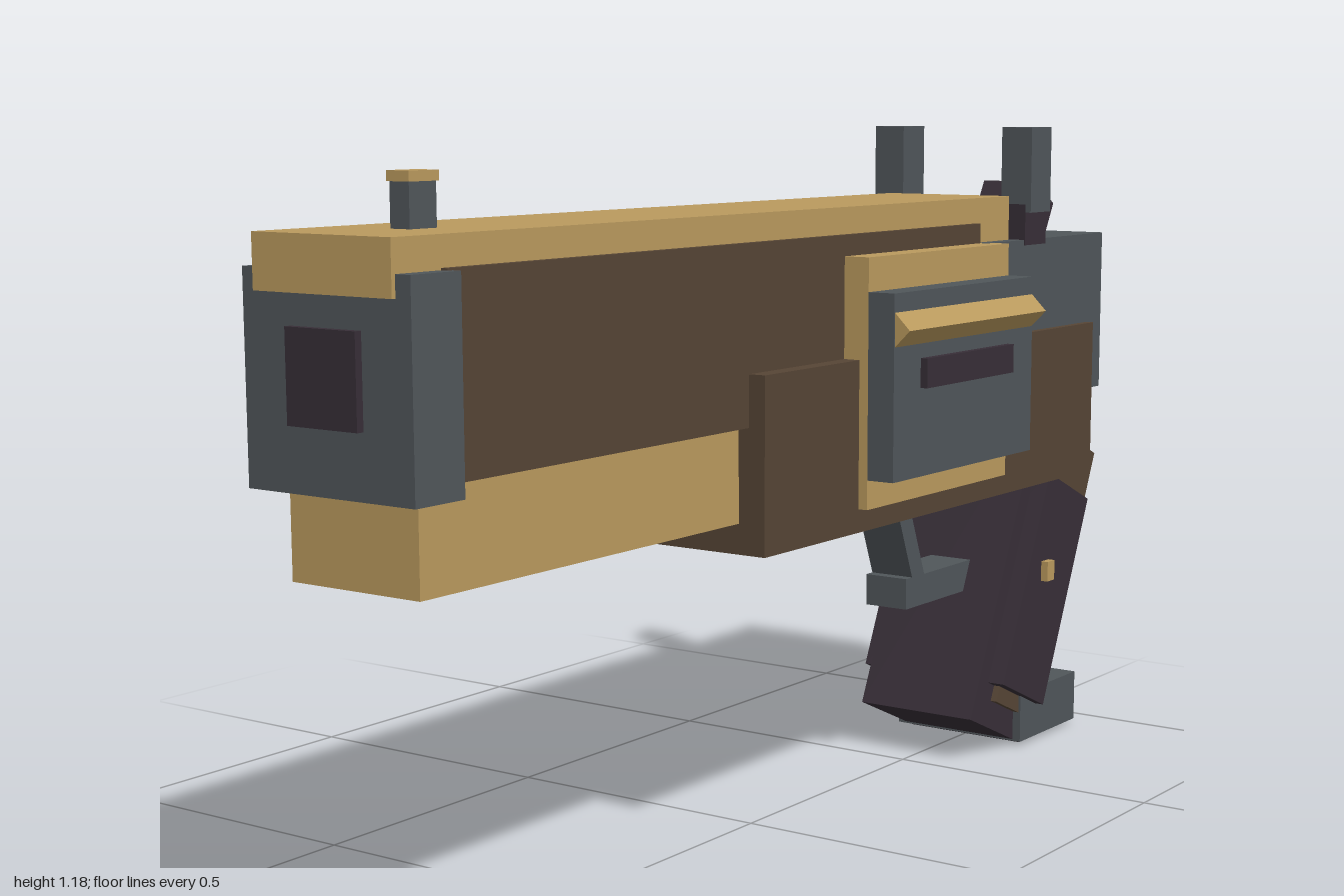
import * as THREE from 'three';

const mat = (name, color) => {
  const m = new THREE.MeshStandardMaterial({ color });
  m.name = name;
  return m;
};

export function createModel() {
  const model = new THREE.Group();
  model.name = 'pistol';
  const steel = mat('steel', 0x50565a);
  const gold = mat('gold', 0xba9a5e);
  const brown = mat('brown', 0x564535);
  const dark = mat('darkPlum', 0x372e37);

  // Box given by its extents along x, y and z
  const box = (name, material, x, y, z, parent = model) => {
    const mesh = new THREE.Mesh(
      new THREE.BoxGeometry(x[1] - x[0], y[1] - y[0], z[1] - z[0]), material);
    mesh.position.set((x[0] + x[1]) / 2, (y[0] + y[1]) / 2, (z[0] + z[1]) / 2);
    mesh.name = name;
    parent.add(mesh);
    return mesh;
  };
  const wide = (h) => [-h, h];

  // Barrel and frame
  box('topRail', gold, wide(0.128), [0.98, 1.06], [-0.645, 0.995]);
  box('slide', brown, wide(0.14), [0.725, 1.015], [-0.52, 0.9]);
  box('muzzle', steel, wide(0.155), [0.705, 1.012], [0.89, 0.988]);
  box('bore', dark, wide(0.065), [0.8, 0.935], [0.95, 1.0]);
  box('underBarrel', gold, wide(0.12), [0.57, 0.73], [0.1, 0.945]);
  box('frame', brown, wide(0.17), [0.52, 0.81], [-0.91, 0.205]);
  box('rearBlock', steel, wide(0.155), [0.68, 0.98], [-0.97, -0.52]);

  // Side housings
  box('housingCore', gold, wide(0.187), [0.56, 0.98], [-0.54, -0.07]);
  box('housing', steel, wide(0.237), [0.61, 0.923], [-0.54, -0.07]);
  box('slots', dark, wide(0.25), [0.76, 0.81], [-0.45, -0.155]);
  for (const [side, y] of [[1, 0.863], [-1, 0.846]]) {
    const bar = box('ridgeBar', gold, wide(0.023), wide(0.023), [-0.538, -0.072]);
    bar.position.x = side * 0.233;
    bar.position.y = y;
    bar.rotation.z = Math.PI / 4;
  }

  // Sights
  box('frontSightPost', steel, wide(0.018), [1.05, 1.125], [0.785, 0.84]);
  box('frontSightCap', gold, wide(0.021), [1.125, 1.14], [0.782, 0.843]);
  box('rearSightBase', dark, wide(0.157), [0.97, 1.045], [-0.735, -0.655]);
  for (const s of [-1, 1]) {
    const sight = box('rearSight', steel, wide(0.031), [1.03, 1.185], [-0.73, -0.655]);
    sight.position.x = s * 0.137;
  }

  // Hammer
  const hammer = box('hammer', dark, wide(0.055), wide(0.1), wide(0.046));
  hammer.position.set(0, 0.973, -0.867);
  hammer.rotation.x = -0.5;
  hammer.position.y -= 0.004;

  // Trigger guard
  box('guardBar', steel, wide(0.043), [0.31, 0.367], [-0.7, -0.435]);
  const strut = box('guardStrut', steel, wide(0.043), wide(0.12), wide(0.02));
  strut.position.set(0, 0.44, -0.448);
  strut.rotation.x = 0.38;

  // Raked grip, with its origin at the lower front edge
  const grip = new THREE.Group();
  grip.name = 'grip';
  grip.position.set(0, 0.09, -0.545);
  grip.rotation.x = -0.42;
  model.add(grip);
  box('gripCore', dark, wide(0.12), [0, 0.637], [-0.208, 0], grip);
  box('gripBack', brown, wide(0.132), [0.05, 0.598], [-0.235, -0.06], grip);
  box('gripPanels', dark, wide(0.153), [0.08, 0.497], [-0.208, -0.034], grip);
  box('gripPin', gold, wide(0.167), [0.325, 0.363], [-0.777, -0.75]);
  box('gripBase', steel, wide(0.136), [0.014, 0.11], [-0.93, -0.708]);

  return model;
}
